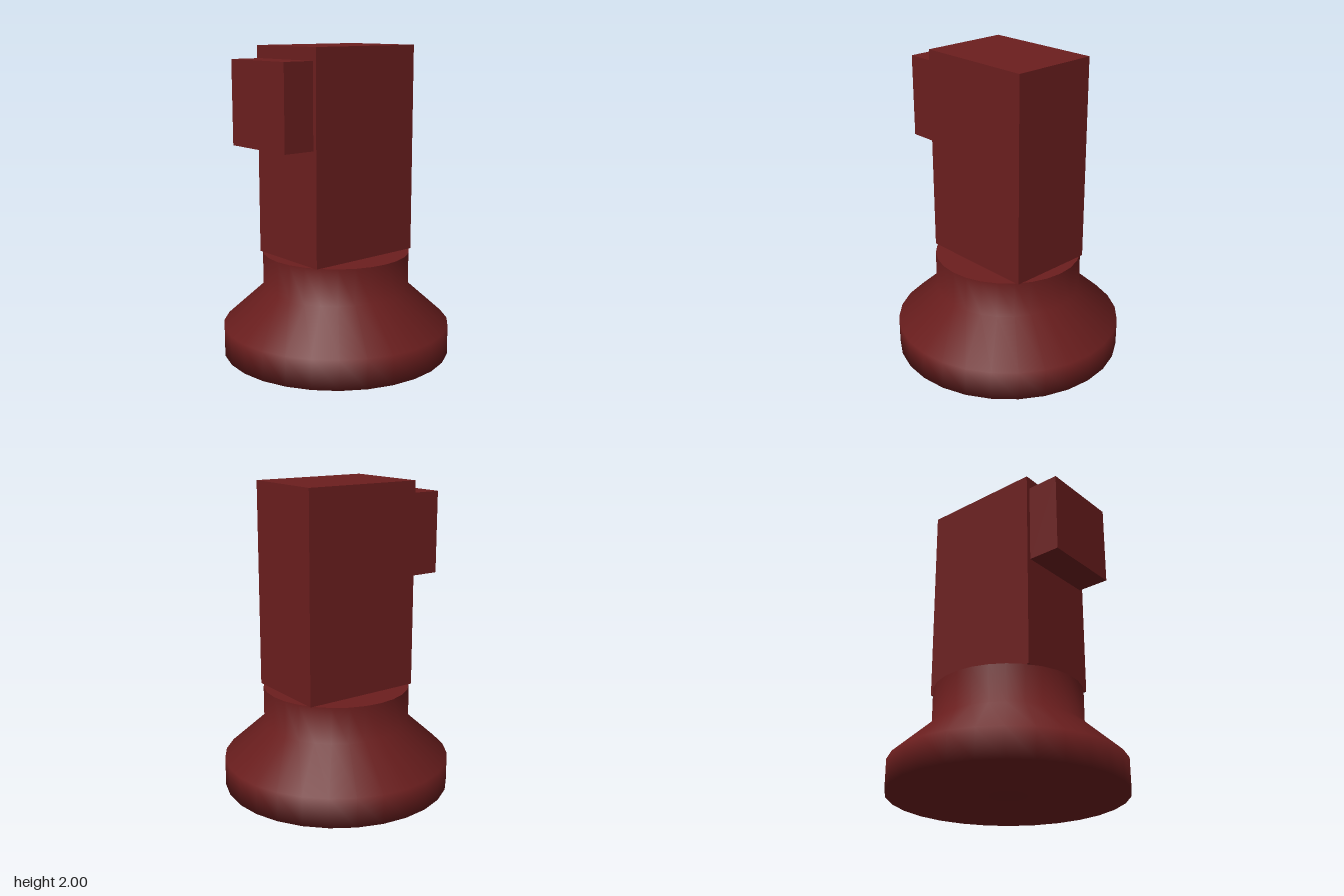
import * as THREE from 'three';

export function createModel() {
  const group = new THREE.Group();
  const material = new THREE.MeshStandardMaterial({ color: 0x6b1e1e });
  const sides = 28;

  function add(name, geometry, x, y, z) {
    const mesh = new THREE.Mesh(geometry, material);
    mesh.name = name;
    mesh.position.set(x, y, z);
    group.add(mesh);
    return mesh;
  }

  // Flared round foot with a straight neck, softly shaded
  const profile = [[0, 0], [0.745, 0], [0.745, 0.19], [0.48, 0.43], [0.48, 0.67]]
    .map(([r, y]) => new THREE.Vector2(r, y));
  add('base', new THREE.LatheGeometry(profile, sides), 0, 0, 0);

  // Flat lid closing the neck
  add('baseTop', new THREE.CircleGeometry(0.48, sides).rotateX(-Math.PI / 2), 0, 0.67, 0);

  // Upright block
  add('column', new THREE.BoxGeometry(0.585, 1.33, 0.8), 0, 1.335, 0);

  // Block projecting from the front
  add('frontBlock', new THREE.BoxGeometry(0.53, 0.53, 0.212), 0, 1.655, 0.506);

  return group;
}
